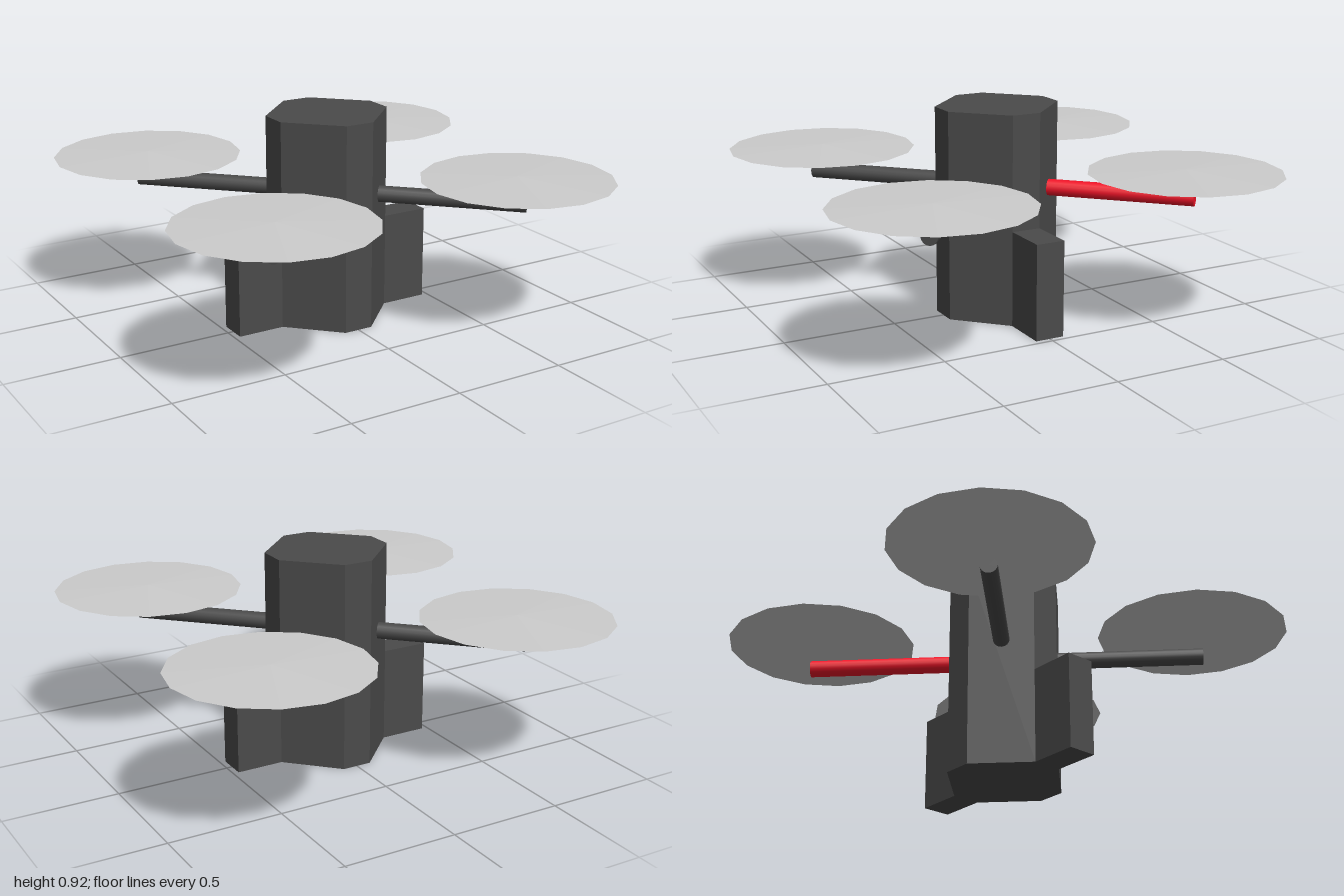
import * as THREE from 'three';

const paint = (color, flat = true) => {
  const m = new THREE.MeshStandardMaterial({ color });
  m.flatShading = flat;
  return m;
};

export function createModel() {
  const group = new THREE.Group();
  const dark = paint(0x4a4a4a);
  const darkSmooth = paint(0x4a4a4a, false);
  const red = paint(0xf01428, false);
  const grey = paint(0xcccccc);

  const add = (name, geometry, material, x = 0, y = 0, z = 0) => {
    const mesh = new THREE.Mesh(geometry, material);
    mesh.name = name;
    mesh.position.set(x, y, z);
    group.add(mesh);
    return mesh;
  };

  // Tall body: a square with wide chamfered corners
  const w = 0.265, c = 0.065, bodyHeight = 0.92;
  const outline = new THREE.Shape([
    [w, -c], [w, c], [c, w], [-c, w], [-w, c], [-w, -c], [-c, -w], [c, -w],
  ].map(([x, y]) => new THREE.Vector2(x, y)));
  const bodyGeometry = new THREE.ExtrudeGeometry(outline, { depth: bodyHeight, bevelEnabled: false });
  bodyGeometry.rotateX(-Math.PI / 2);
  add('body', bodyGeometry, dark);

  // Side blocks at the foot of the body
  const blockGeometry = new THREE.BoxGeometry(0.21, 0.42, 2 * c);
  for (const side of [1, -1]) {
    add(side > 0 ? 'leftBlock' : 'rightBlock', blockGeometry, dark, side * 0.37, 0.21, 0);
  }

  // Diagonal arms, each with a shallow lens-shaped rotor disc above its end
  const inner = 0.165, outer = 0.615, mid = (inner + outer) / 2;
  const armGeometry = new THREE.CylinderGeometry(0.036, 0.036, (outer - inner) * Math.SQRT2, 16);
  armGeometry.rotateZ(-Math.PI / 2);
  const rotorGeometry = new THREE.LatheGeometry([
    new THREE.Vector2(0, -0.013),
    new THREE.Vector2(0.415, 0),
    new THREE.Vector2(0, 0.013),
  ], 16);
  for (const sx of [1, -1]) {
    for (const sz of [1, -1]) {
      const corner = (sz > 0 ? 'front' : 'back') + (sx > 0 ? 'Left' : 'Right');
      const isRed = sx > 0 && sz < 0;
      const arm = add(corner + 'Arm', armGeometry, isRed ? red : darkSmooth, sx * mid, 0.567, sz * mid);
      arm.rotation.y = Math.atan2(-sz, sx);
      add(corner + 'Rotor', rotorGeometry, grey, sx * 0.585, 0.675, sz * 0.585);
    }
  }

  return group;
}
